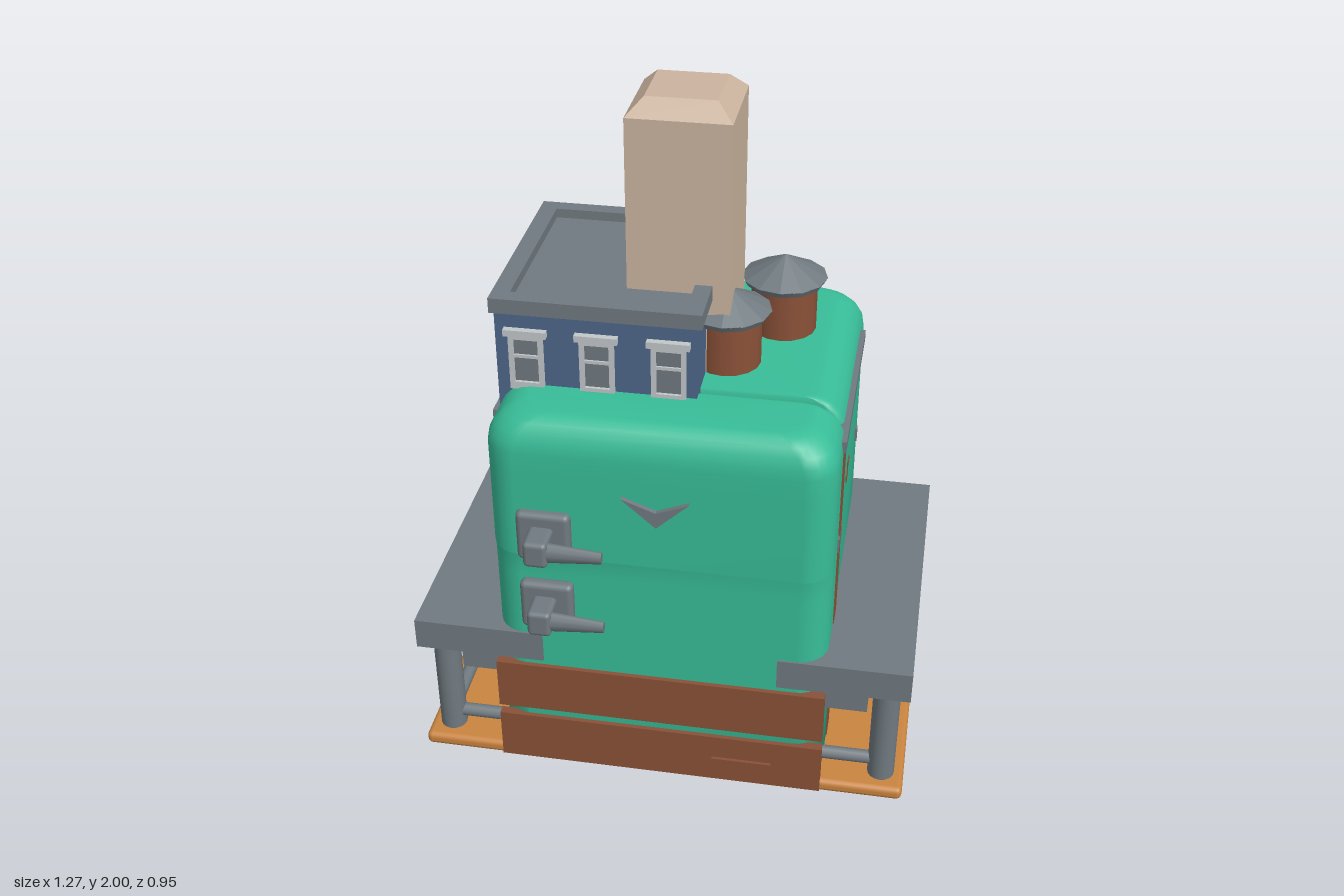
import * as THREE from 'three';
import { RoundedBoxGeometry } from 'three/addons/geometries/RoundedBoxGeometry.js';

const mat = (name, color, side = THREE.FrontSide) => {
  const m = new THREE.MeshStandardMaterial({ color, side });
  m.name = name;
  return m;
};

export function createModel() {
  const root = new THREE.Group();
  root.name = 'fridgeHouse';
  const green = mat('enamel green', 0x38bd98);
  const grey = mat('slate grey', 0x707a80);
  const brown = mat('wood brown', 0x8a5138);
  const orange = mat('deck orange', 0xc98440);
  const red = mat('red', 0xc24a50);
  const blue = mat('wall blue', 0x4d678a);
  const beige = mat('chimney beige', 0xcbb49f);
  const pale = mat('pale panel', 0xc2c7ca);

  const add = (name, geo, m, x = 0, y = 0, z = 0, parent = root) => {
    const mesh = new THREE.Mesh(geo, m);
    mesh.name = name;
    mesh.position.set(x, y, z);
    parent.add(mesh);
    return mesh;
  };
  // box given by its limits
  const box = (name, m, x0, x1, y0, y1, z0, z1, r = 0) => {
    const s = [x1 - x0, y1 - y0, z1 - z0];
    const geo = r ? new RoundedBoxGeometry(...s, 2, r) : new THREE.BoxGeometry(...s);
    return add(name, geo, m, (x0 + x1) / 2, (y0 + y1) / 2, (z0 + z1) / 2);
  };
  const rod = (name, m, a, b, r, sides = 12) => {
    const p = new THREE.Vector3(...a), q = new THREE.Vector3(...b);
    const mesh = add(name, new THREE.CylinderGeometry(r, r, p.distanceTo(q), sides), m);
    mesh.position.copy(p).add(q).multiplyScalar(0.5);
    mesh.quaternion.setFromUnitVectors(new THREE.Vector3(0, 1, 0), q.sub(p).normalize());
    return mesh;
  };
  const poly = (pts) => new THREE.Shape(pts.map((p) => new THREE.Vector2(...p)));
  const rect = (x0, x1, y0, y1) => [[x0, y0], [x1, y0], [x1, y1], [x0, y1]];
  const panel = (outer, holes, depth) => {
    const s = poly(outer);
    holes.forEach((h) => s.holes.push(poly(h)));
    return new THREE.ExtrudeGeometry(s, { depth, bevelEnabled: false });
  };

  // Rounded rectangular rings stacked in y; ring = [y, insetX, insetFront, insetBack]
  const shell = (w, z0, z1, rFront, rBack, rings) => {
    const pos = [], idx = [], K = 6, N = 4 * (K + 1);
    for (const [y, ix, f, b] of rings) {
      for (let c = 0; c < 4; c++) {
        const r = c < 2 ? rFront : rBack;
        const sx = c === 0 || c === 3 ? 1 : -1;
        const cx = sx * (w - ix - r), cz = c < 2 ? z1 - f - r : z0 + b + r;
        for (let k = 0; k <= K; k++) {
          const a = (c + k / K) * Math.PI / 2;
          pos.push(cx + r * Math.cos(a), y, cz + r * Math.sin(a));
        }
      }
    }
    for (let i = 0; i < rings.length - 1; i++) for (let j = 0; j < N; j++) {
      const a = i * N + j, b = i * N + (j + 1) % N;
      idx.push(a, a + N, b, b, a + N, b + N);
    }
    const top = (rings.length - 1) * N, mid = (z0 + z1) / 2;
    pos.push(0, rings[0][0], mid, 0, rings[rings.length - 1][0], mid);
    const n = pos.length / 3;
    for (let j = 0; j < N; j++) {
      const k = (j + 1) % N;
      idx.push(n - 2, j, k, n - 1, top + k, top + j);
    }
    const g = new THREE.BufferGeometry();
    g.setAttribute('position', new THREE.Float32BufferAttribute(pos, 3));
    g.setIndex(idx);
    g.computeVertexNormals();
    return g;
  };
  // quarter-round top edge
  const crown = (ix, f, b) => [0, 1, 2, 3, 4, 5].map((i) => {
    const a = i * Math.PI / 10, k = 1 - Math.cos(a);
    return [1.23 + 0.09 * Math.sin(a), ix * k, f * k, b * k];
  });

  // Fridge body and door
  add('fridgeBody', shell(0.42, -0.475, 0.155, 0.02, 0.08, [[0.28, 0, 0, 0], [1.2, 0, 0, 0], ...crown(0.09, 0.01, 0.06)]), green);
  add('fridgeDoor', shell(0.422, 0.163, 0.375, 0.075, 0.02,
    [[0.28, 0, 0.008, 0], [0.6, 0, 0.008, 0], [0.87, 0, 0.008, 0], [0.93, 0, 0.006, 0], [0.94, 0, 0, 0], [1.18, 0, 0, 0], ...crown(0.09, 0.06, 0.012)]), green);

  // Door handles and chevron trim
  for (const y of [1.005, 0.795]) {
    box('handlePlate', grey, -0.345, -0.21, y - 0.07, y + 0.07, 0.36, 0.397, 0.015);
    box('handleStem', grey, -0.31, -0.25, y - 0.035, y + 0.035, 0.38, 0.47, 0.012);
    const lever = add('handleLever', new THREE.CylinderGeometry(0.016, 0.03, 0.17, 10), grey, -0.205, y, 0.447);
    lever.rotation.z = -Math.PI / 2;
    lever.scale.z = 0.7;
  }
  add('chevronTrim', panel([[-0.085, 1.14], [0, 1.065], [0.08, 1.14], [0, 1.108]], [], 0.02), grey, 0, 0, 0.368);

  // Side seams, eaves and inner walls showing through
  for (const s of [-1, 1]) box('sideEave', grey, s * 0.418 - 0.012, s * 0.418 + 0.012, 1.225, 1.255, -0.325, 0.23);
  box('wallStrip', brown, 0.41, 0.4245, 0.3, 1.225, 0.135, 0.2);
  box('wallStripBase', orange, 0.415, 0.426, 0.41, 0.52, 0.135, 0.2);
  for (const z of [0.205, 0.14, -0.315]) box('seamMark', grey, 0.415, 0.426, 0.92, 0.96, z - 0.01, z + 0.01);
  for (const [y, z] of [[1.02, -0.045], [0.995, -0.02]]) box('wallPatch', brown, 0.415, 0.4225, y - 0.01, y + 0.01, z - 0.02, z + 0.02);
  for (const [y, z] of [[0.43, -0.145], [0.395, -0.17]]) box('wallPatch', orange, 0.415, 0.4225, y - 0.01, y + 0.01, z - 0.02, z + 0.02);
  const sidePlate = (name, pts, m) => {
    const p = add(name, panel(pts, [], 0.008), m, -0.417, 0, 0);
    p.rotation.y = -Math.PI / 2;
  };
  sidePlate('sideWallBrown', [[-0.32, 1.225], [-0.28, 0.85], [-0.22, 0.6], [-0.1, 0.6], [-0.04, 0.85], [0.12, 1.225]], brown);
  sidePlate('sideWallRed', [[0.12, 1.225], [-0.04, 0.85], [-0.1, 0.6], [-0.22, 0.6], [-0.2, 0.3], [0.2, 0.3], [0.2, 1.225]], red);

  // Crate planks, front and back
  for (const [z0, z1] of [[0.355, 0.379], [-0.479, -0.455]]) {
    box('lowerPlank', brown, -0.424, 0.424, 0.268, 0.412, z0, z1);
    box('upperPlank', brown, -0.424, 0.424, 0.44, 0.585, z0, z1);
  }
  box('plankGrip', brown, 0.14, 0.295, 0.325, 0.345, 0.37, 0.387);
  box('crateFloor', brown, -0.42, 0.42, 0.262, 0.29, -0.47, 0.37);

  // Decks with porches on both sides
  for (const s of [-1, 1]) {
    const side = (name, m, a, b, ...rest) => box(name, m, Math.min(s * a, s * b), Math.max(s * a, s * b), ...rest);
    side('deck', orange, 0.4, 0.637, 0.264, 0.301, -0.477, 0.377, 0.015);
    side('porchRoof', grey, 0.3, 0.637, 0.6, 0.685, -0.476, 0.372);
    side('porchBeam', grey, 0.41, 0.53, 0.515, 0.601, -0.43, 0.33);
    for (const z of [0.31, -0.41]) {
      rod('porchPost', grey, [s * 0.577, 0.26, z], [s * 0.577, 0.61, z], 0.035, 16);
      rod('endRail', grey, [s * 0.41, 0.345, z], [s * 0.577, 0.345, z], 0.018);
    }
    rod('sideRail', grey, [s * 0.577, 0.345, -0.41], [s * 0.577, 0.345, 0.31], 0.018);
  }

  // Rooftop building
  box('buildingWalls', blue, -0.42, 0.067, 1.24, 1.525, -0.315, 0.2);
  const rim = add('roofRim', panel(rect(-0.426, 0.082, -0.222, 0.327), [rect(-0.382, 0.04, -0.18, 0.287)], 0.038), grey, 0, 1.518, 0);
  rim.rotation.x = -Math.PI / 2;
  box('roofDeck', grey, -0.4, 0.06, 1.515, 1.532, -0.3, 0.2);
  for (const x of [-0.345, -0.173, 0]) {
    add('windowFrame', panel(rect(-0.042, 0.042, 1.31, 1.46), [rect(-0.03, 0.03, 1.33, 1.445)], 0.012), pale, x, 0, 0.199);
    box('windowPane', grey, x - 0.035, x + 0.035, 1.32, 1.45, 0.199, 0.203);
    box('windowBar', pale, x - 0.032, x + 0.032, 1.395, 1.403, 0.199, 0.208);
    box('windowLintel', pale, x - 0.052, x + 0.052, 1.455, 1.472, 0.199, 0.217);
  }

  // Chimney with bevelled top
  box('chimneyShaft', beige, -0.125, 0.125, 1.25, 1.96, -0.178, 0.072);
  const cap = new THREE.CylinderGeometry(0.085 * Math.SQRT2, 0.125 * Math.SQRT2, 0.04, 4).toNonIndexed();
  cap.rotateY(Math.PI / 4);
  cap.computeVertexNormals();
  add('chimneyCap', cap, beige, 0, 1.98, -0.053);

  // Water tanks
  for (const [x, z] of [[0.225, -0.197], [0.11, 0]]) {
    add('tankBarrel', new THREE.CylinderGeometry(0.084, 0.084, 0.2, 16), brown, x, 1.36, z);
    add('tankEave', new THREE.CylinderGeometry(0.108, 0.1, 0.015, 12), grey, x, 1.457, z);
    add('tankRoof', new THREE.ConeGeometry(0.108, 0.058, 12).toNonIndexed(), grey, x, 1.493, z).geometry.computeVertexNormals();
  }

  // Panelled board below
  box('boardBack', brown, -0.425, 0.425, 0, 0.27, -0.04, 0.005);
  add('boardFrame', panel(rect(-0.425, 0.425, 0, 0.27),
    [rect(-0.385, -0.21, 0.045, 0.262), rect(-0.17, 0.168, 0.045, 0.262), rect(0.212, 0.385, 0.045, 0.262)], 0.035), brown);
  for (const [a, b] of [[-0.39, -0.205], [-0.175, 0.173], [0.207, 0.39]]) box('boardPanel', pale, a, b, 0.04, 0.266, 0.004, 0.009);
  add('innerFrame', panel(rect(-0.15, 0.147, 0.07, 0.262), [rect(-0.115, 0.112, 0.1, 0.25)], 0.025), brown, 0, 0, 0.005);

  // Hanging low-poly red bowl with spout, patch and pull rod
  const flat = (g) => { const n = g.toNonIndexed(); n.computeVertexNormals(); return n; };
  const bowl = add('redBowl', flat(new THREE.SphereGeometry(1, 12, 4, 0, Math.PI * 2, Math.PI / 2, Math.PI / 2)), red, -0.01, 0.268, -0.05);
  bowl.scale.set(0.19, 0.165, 0.175);
  const beak = add('orangePatch', flat(new THREE.ConeGeometry(0.07, 0.08, 6)), orange, 0.01, 0.115, -0.11);
  beak.rotation.x = Math.PI;
  const tip = add('redTip', flat(new THREE.ConeGeometry(0.04, 0.11, 6)), red, 0, 0.075, -0.075);
  tip.rotation.x = Math.PI - 0.25;
  rod('pullRod', grey, [0.12, 0.24, -0.07], [0.33, 0.245, -0.07], 0.014, 8);
  add('pullKnob', new THREE.SphereGeometry(0.032, 12, 8), beige, 0.33, 0.245, -0.075);

  return root;
}
